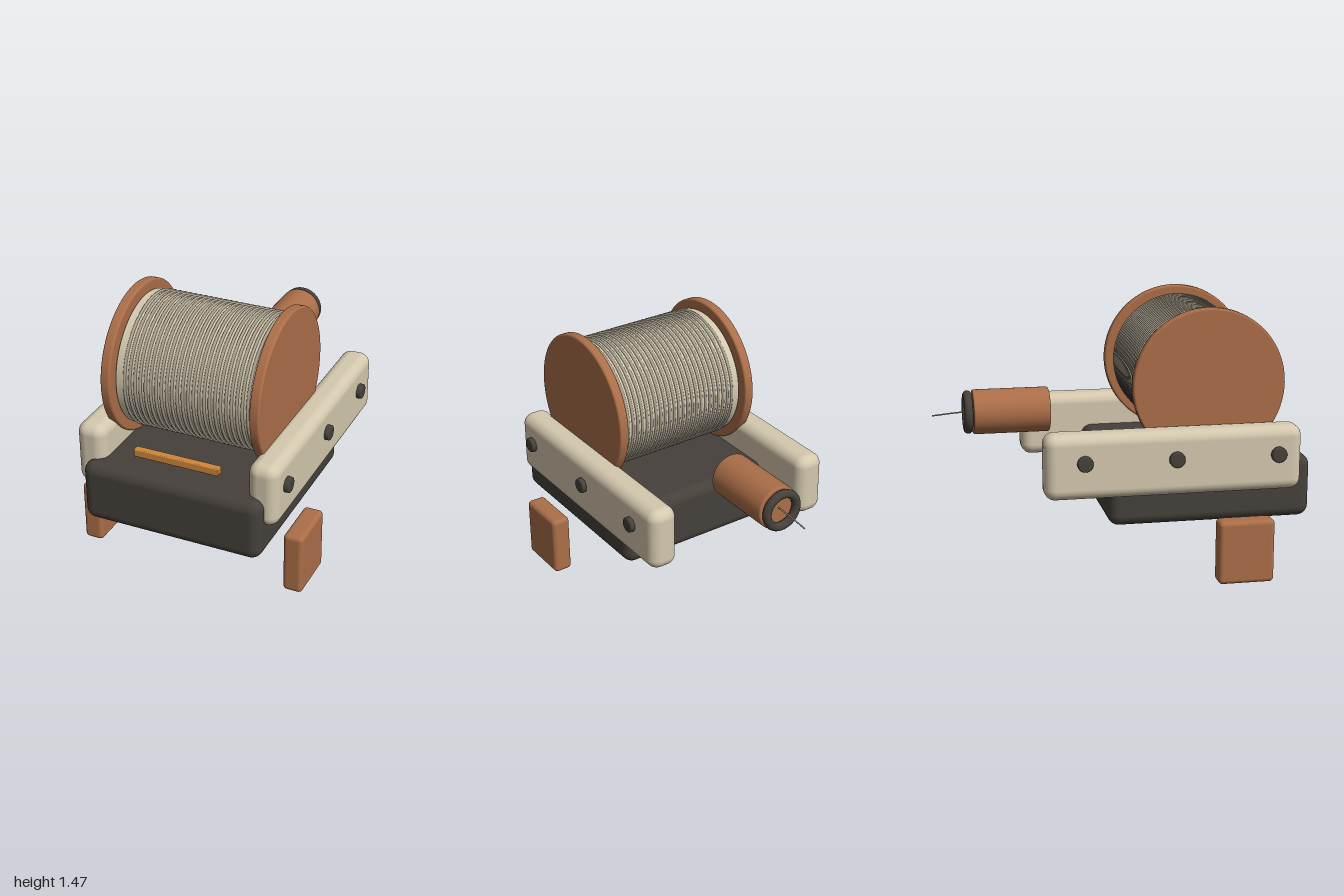
import * as THREE from 'three';
import { RoundedBoxGeometry } from 'three/addons/geometries/RoundedBoxGeometry.js';

const material = (name, color) => {
  const m = new THREE.MeshStandardMaterial({ color });
  m.name = name;
  return m;
};

export function createModel() {
  const wood = material('brown wood', 0xab6e48);
  const cream = material('cream', 0xd4c8ae);
  const dark = material('charcoal', 0x45403a);
  const orange = material('orange', 0xd0873c);
  const cable = material('cable', 0xa8a08e);

  const group = new THREE.Group();
  const add = (name, geometry, mat, x = 0, y = 0, z = 0) => {
    const mesh = new THREE.Mesh(geometry, mat);
    mesh.name = name;
    mesh.position.set(x, y, z);
    group.add(mesh);
    return mesh;
  };
  const roundedBox = (w, h, d, r) => new RoundedBoxGeometry(w, h, d, 5, r);

  // Solid disc or cylinder along y with a small rounded rim
  const roundedCylinder = (radius, length, bevel, segments = 64) => {
    const h = length / 2;
    const pts = [new THREE.Vector2(0, -h), new THREE.Vector2(radius - bevel, -h)];
    pts.push(new THREE.Vector2(radius - bevel, -h));
    for (const side of [-1, 1]) {
      for (let i = 0; i <= 4; i++) {
        const a = (side < 0 ? -Math.PI / 2 : 0) + (i / 4) * (Math.PI / 2);
        pts.push(new THREE.Vector2(
          radius - bevel + bevel * Math.cos(a),
          side * (h - bevel) + bevel * Math.sin(a)));
      }
    }
    pts.push(new THREE.Vector2(0, h));
    // Drop coincident points so normals stay clean
    const clean = pts.filter((p, i) => i === 0 || p.distanceTo(pts[i - 1]) > 1e-5);
    return new THREE.LatheGeometry(clean, segments);
  };
  const alongX = (g) => g.rotateZ(-Math.PI / 2);
  const alongZ = (g) => g.rotateX(Math.PI / 2);

  // Base block
  add('base', roundedBox(1.01, 0.345, 1.11, 0.06), dark, 0, 0.4825, 0.445);

  // Side rails, bolts, feet and drum flanges, mirrored
  for (const s of [1, -1]) {
    const side = s > 0 ? 'left' : 'right';
    add(side + 'Rail', roundedBox(0.165, 0.355, 1.39, 0.06), cream, s * 0.4875, 0.6625, 0.235);
    for (const z of [0.795, 0.24, -0.25]) {
      add(side + 'Bolt', alongX(roundedCylinder(0.042, 0.06, 0.008, 24)), dark, s * 0.567, 0.69, z);
    }
    add(side + 'Foot', roundedBox(0.11, 0.35, 0.305, 0.025), wood, s * 0.595, 0.175, 0.6125);
    add(side + 'Flange', alongX(roundedCylinder(0.415, 0.055, 0.012, 96)), wood, s * 0.4165, 1.05, 0.445);
  }

  // Drum with cable turns
  add('drum', alongX(roundedCylinder(0.362, 0.765, 0.006, 96)), cream, 0, 1.05, 0.445);
  const turn = new THREE.TorusGeometry(0.362, 0.0085, 8, 72).rotateY(Math.PI / 2);
  for (let i = 0; i < 24; i++) {
    add('cableTurn', turn, cable, -0.33 + i * 0.03, 1.05, 0.445);
  }

  // Front indicator bar
  add('frontBar', roundedBox(0.48, 0.043, 0.04, 0.005), orange, 0, 0.732, 0.885);

  // Rear handle, end ring and wire
  add('handle', alongZ(roundedCylinder(0.123, 0.42, 0.01, 48)), wood, 0, 0.857, -0.57);
  add('handleRing', new THREE.TorusGeometry(0.095, 0.024, 16, 48), dark, 0, 0.857, -0.806);
  const path = new THREE.CatmullRomCurve3([
    new THREE.Vector3(0, 0.86, -0.77),
    new THREE.Vector3(0, 0.855, -0.88),
    new THREE.Vector3(0, 0.844, -1.0),
  ]);
  add('wire', new THREE.TubeGeometry(path, 12, 0.004, 8), cable);

  return group;
}
